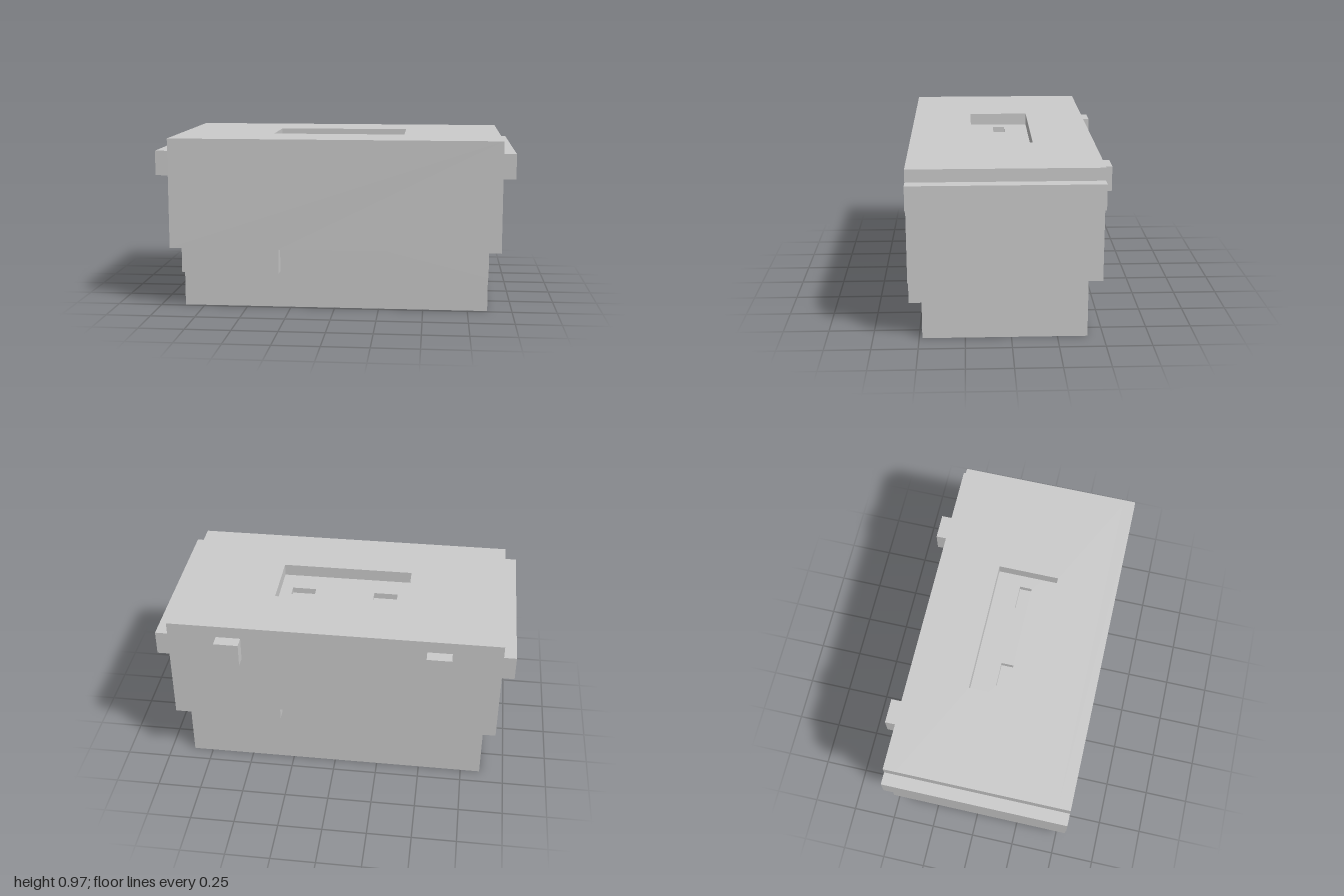
import * as THREE from 'three';

const U = 2 / 29; // module size: all dimensions below are in these units
const material = new THREE.MeshStandardMaterial({ color: 0xcccccc, flatShading: true });

// Closed rectangle as points, for outlines and holes
const rect = (x0, x1, y0, y1) =>
  [[x0, y0], [x1, y0], [x1, y1], [x0, y1]].map(([x, y]) => new THREE.Vector2(x * U, y * U));

function addMesh(parent, name, geometry) {
  const mesh = new THREE.Mesh(geometry, material);
  mesh.name = name;
  parent.add(mesh);
  return mesh;
}

// Box given by its limits on each axis
function addBox(parent, name, [x0, x1], [y0, y1], [z0, z1]) {
  const mesh = addMesh(parent, name, new THREE.BoxGeometry((x1 - x0) * U, (y1 - y0) * U, (z1 - z0) * U));
  mesh.position.set((x0 + x1) / 2 * U, (y0 + y1) / 2 * U, (z0 + z1) / 2 * U);
}

// Upright panel: front outline extruded from z0 to z1
function addPanel(parent, name, points, z0, z1) {
  const shape = new THREE.Shape(points.map(([x, y]) => new THREE.Vector2(x * U, y * U)));
  const geometry = new THREE.ExtrudeGeometry(shape, { depth: (z1 - z0) * U, bevelEnabled: false });
  addMesh(parent, name, geometry).position.z = z0 * U;
}

// Flat layer with rectangular holes; each hole is [x0, x1, z0, z1]
function addLayer(parent, name, [x0, x1, z0, z1], holes, y0, y1) {
  const shape = new THREE.Shape(rect(x0, x1, -z1, -z0));
  for (const [a, b, c, d] of holes) shape.holes.push(new THREE.Path(rect(a, b, -d, -c)));
  const geometry = new THREE.ExtrudeGeometry(shape, { depth: (y1 - y0) * U, bevelEnabled: false });
  geometry.rotateX(-Math.PI / 2);
  addMesh(parent, name, geometry).position.y = y0 * U;
}

export function createModel() {
  const model = new THREE.Group();
  model.name = 'case';

  // Narrow base and the wider body core
  addBox(model, 'base', [-12.5, 12.5], [0, 5], [-6, 7]);
  addBox(model, 'bodyCore', [-13.5, 13.5], [5, 12.5], [-6, 7]);

  // Lid: two pockets in the floor of a sunken handle recess
  const lid = [-13.5, 13.5, -6, 7];
  addLayer(model, 'recessFloor', lid, [[-4.5, -2.5, 0, 1], [2.5, 4.5, 0, 1]], 12.5, 13);
  addLayer(model, 'lidTop', lid, [[-5.5, 5.5, -2, 3]], 13, 14);

  // Front panel hangs over the base and has a central cut-out
  addPanel(model, 'frontPanel', [
    [-12.5, 3], [-4.5, 3], [-4.5, 5], [4.5, 5], [4.5, 3], [12.5, 3], [12.5, 5],
    [13.5, 5], [13.5, 14], [-13.5, 14], [-13.5, 5], [-12.5, 5],
  ], 7, 8);

  // Back panel with a shallow notch in its lower edge
  addPanel(model, 'backPanel', [
    [-13.5, 5], [-4.5, 5], [-4.5, 6], [4.5, 6], [4.5, 5], [13.5, 5], [13.5, 14], [-13.5, 14],
  ], -7, -6);

  // Side rails and rear pegs, mirrored
  for (const [side, s] of [['left', 1], ['right', -1]]) {
    const span = (a, b) => (s > 0 ? [a, b] : [-b, -a]);
    addBox(model, side + 'Rail', span(13.5, 14.5), [11, 13], [-7, 8]);
    addBox(model, side + 'Peg', span(7.5, 9.5), [11, 13], [-8, -7]);
  }
  return model;
}
